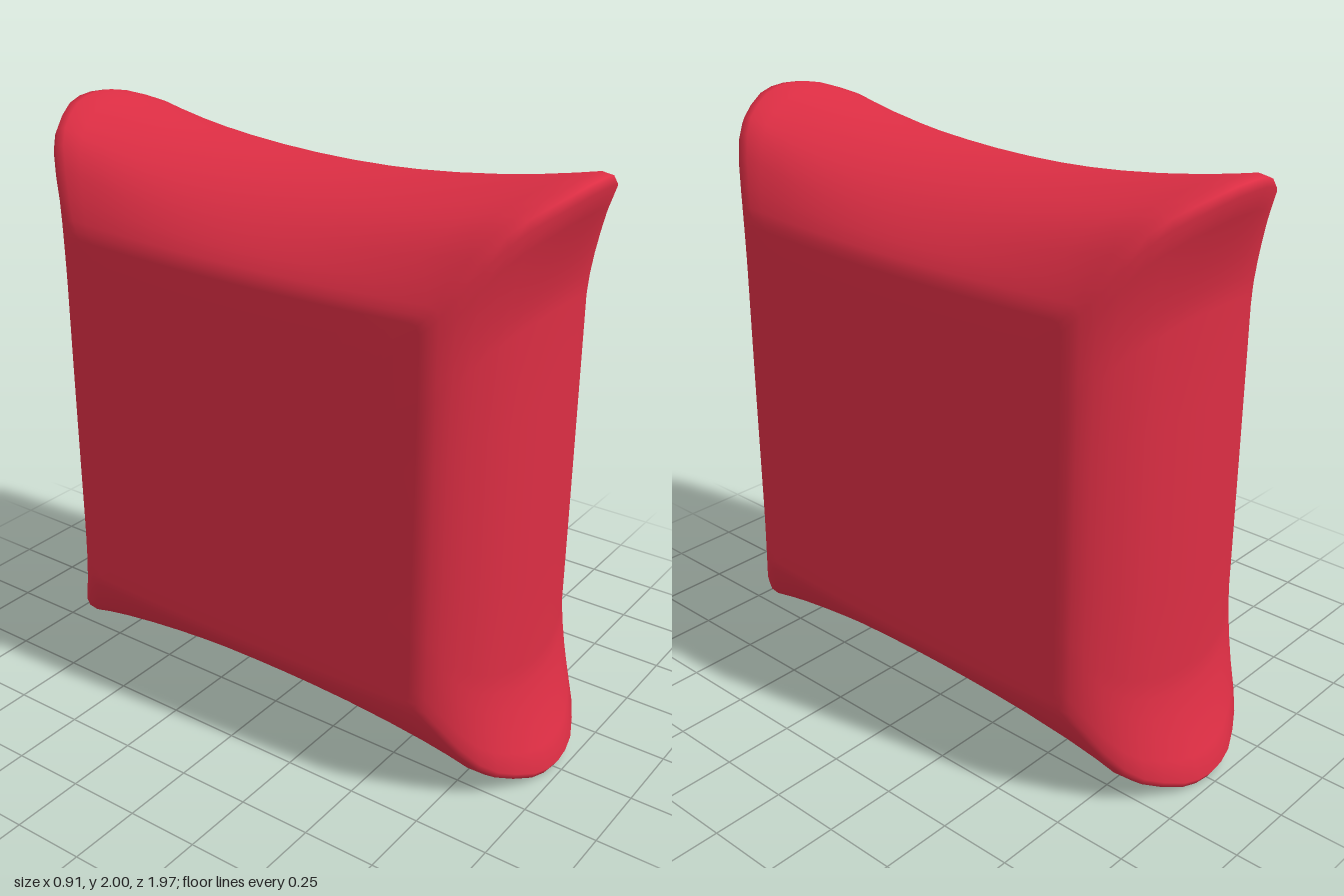
import * as THREE from 'three';

// Half of the cushion's slices along x:
// [x, half depth at mid height, half height at mid depth, corner z, corner y]
const SLICES = [
  [0, 0.875, 0.895, 0.985, 1.0],
  [0.06, 0.873, 0.891, 0.98, 0.997],
  [0.12, 0.866, 0.881, 0.967, 0.985],
  [0.19, 0.852, 0.86, 0.935, 0.96],
  [0.25, 0.835, 0.83, 0.9, 0.932],
  [0.3, 0.81, 0.797, 0.86, 0.89],
  [0.345, 0.782, 0.758, 0.81, 0.825],
  [0.385, 0.75, 0.715, 0.757, 0.745],
  [0.412, 0.715, 0.675, 0.715, 0.685],
  [0.421, 0.69, 0.65, 0.69, 0.655],
];
const FACE_SCALES = [0.96, 0.75, 0.5, 0.25, 0];

// Pincushion outline as [y, z] pairs, one quarter mirrored to a full loop
function outline([, a, b, cz, cy]) {
  const quarter = [];
  for (const t of [0, 0.15, 0.3, 0.45, 0.6, 0.75, 0.86, 0.945]) {
    quarter.push([b + (cy - b) * (t / 0.945) ** 2, cz * t]);
  }
  quarter.push([cy - 0.006, cz * 0.985]);
  const tip = cy - 0.03;
  const bend = 0.62 * tip; // straight edge below, flared edge above
  for (const s of [1, 0.8, 0.6, 0.4, 0.2, 0]) {
    quarter.push([bend + (tip - bend) * s, a + (cz - a) * s ** 1.5]);
  }
  quarter.push([bend * 0.5, a], [0, a]);
  const half = [...quarter, ...quarter.slice(0, -1).reverse().map(([y, z]) => [-y, z])];
  return [...half, ...half.slice(1, -1).reverse().map(([y, z]) => [y, -z])];
}

function cushionGeometry() {
  // Rings from the middle out to the centre of one side face
  const rings = SLICES.map((s) => ({ x: s[0], loop: outline(s) }));
  const rim = rings[rings.length - 1].loop;
  for (const k of FACE_SCALES) {
    rings.push({ x: 0.426, loop: rim.map(([y, z]) => [y * k, z * k]) });
  }
  const all = [
    ...rings.slice(1).reverse().map(({ x, loop }) => ({ x: -x, loop })),
    ...rings,
  ];

  const n = rim.length;
  const positions = [];
  const index = [];
  all.forEach(({ x, loop }, i) => {
    for (const [y, z] of loop) {
      // Side faces bulge gently towards mid depth
      const bulge = 1 + 0.06 * Math.max(0, 1 - (z / 0.7) ** 2) + 0.01 * (1 - y * y);
      positions.push(x * bulge, 1 + y, z);
    }
    if (i === all.length - 1) return;
    for (let j = 0; j < n; j++) {
      const p = i * n + j;
      const q = i * n + ((j + 1) % n);
      index.push(p, q, p + n, q, q + n, p + n);
    }
  });

  const geometry = new THREE.BufferGeometry();
  geometry.setAttribute('position', new THREE.Float32BufferAttribute(positions, 3));
  geometry.setIndex(index);
  geometry.computeVertexNormals();
  return geometry;
}

export function createModel() {
  const group = new THREE.Group();
  group.name = 'pillow';
  const cushion = new THREE.Mesh(
    cushionGeometry(),
    new THREE.MeshStandardMaterial({ color: 0xdd2e44 })
  );
  cushion.name = 'cushion';
  group.add(cushion);
  return group;
}
